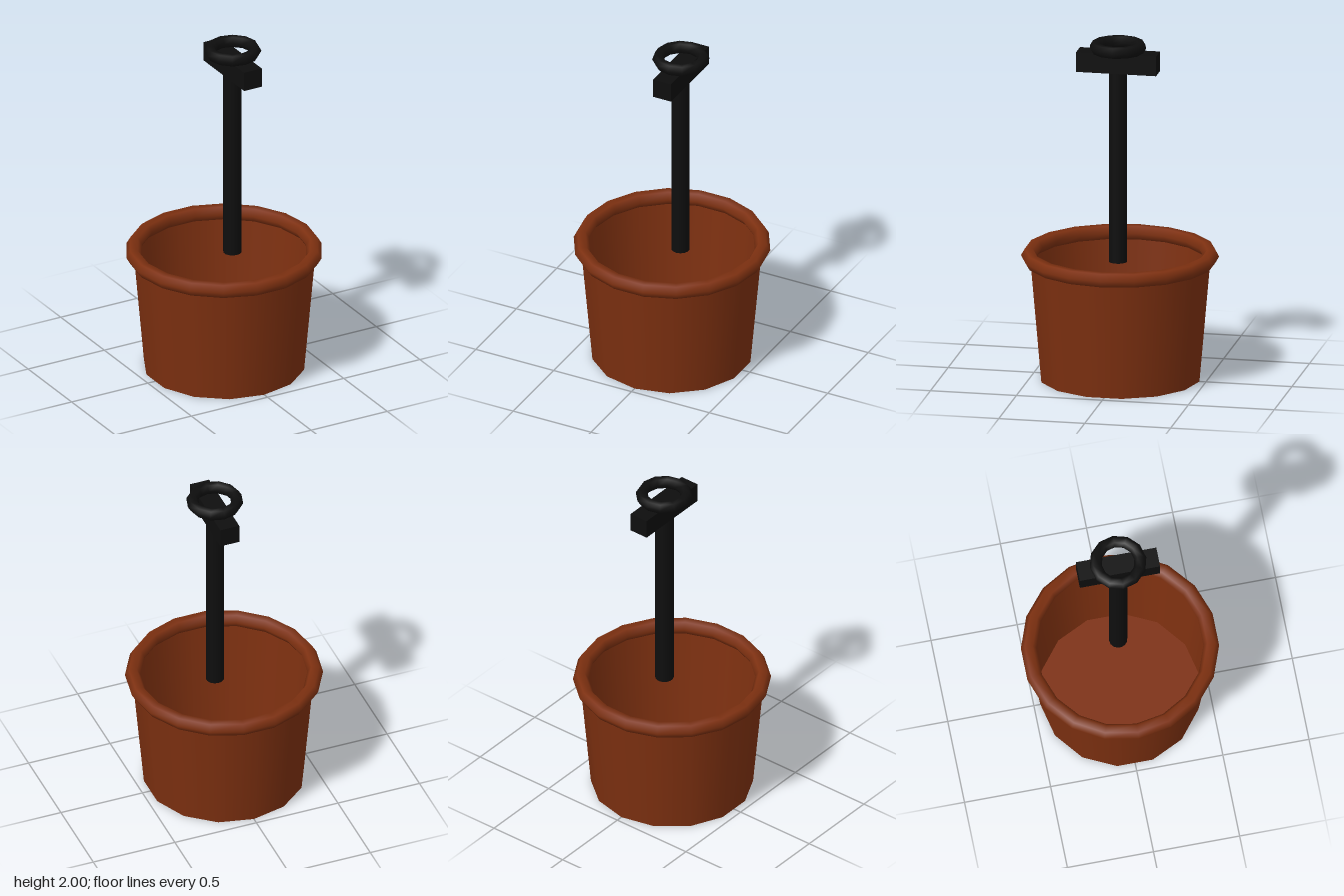
import * as THREE from 'three';

export function createModel() {
  const group = new THREE.Group();
  const terracotta = new THREE.MeshStandardMaterial({ name: 'terracotta brown', color: 0x7d3010, side: THREE.DoubleSide });
  const black = new THREE.MeshStandardMaterial({ name: 'black', color: 0x0e0e0e });

  const add = (name, geometry, material, x, y) => {
    const mesh = new THREE.Mesh(geometry, material);
    mesh.name = name;
    mesh.position.set(x, y, 0);
    group.add(mesh);
  };
  // Horizontal ring with a hexagonal section
  const ring = (radius, tube, sides) =>
    new THREE.TorusGeometry(radius, tube, 6, sides).rotateX(Math.PI / 2);

  // Open tapered bucket
  const sides = 14, baseRadius = 0.462, wallHeight = 0.72;
  add('bucketWall', new THREE.CylinderGeometry(0.526, baseRadius, wallHeight, sides, 1, true), terracotta, 0, wallHeight / 2);
  add('bucketFloor', new THREE.CircleGeometry(baseRadius, sides, Math.PI / 2).rotateX(Math.PI / 2), terracotta, 0, 0);
  add('bucketRim', ring(0.52, 0.045, 18), terracotta, 0, 0.718);

  // Upright handle, set slightly off centre, ending just below the rim
  const handleX = 0.057, poleBottom = 0.7, poleTop = 1.86;
  add('pole', new THREE.CylinderGeometry(0.053, 0.053, poleTop - poleBottom, sides), black, 0.055, (poleBottom + poleTop) / 2);
  add('crossBlock', new THREE.BoxGeometry(0.116, 0.115, 0.466), black, handleX, 1.882);
  add('topRing', ring(0.129, 0.035, 12), black, handleX, 1.969);

  return group;
}
